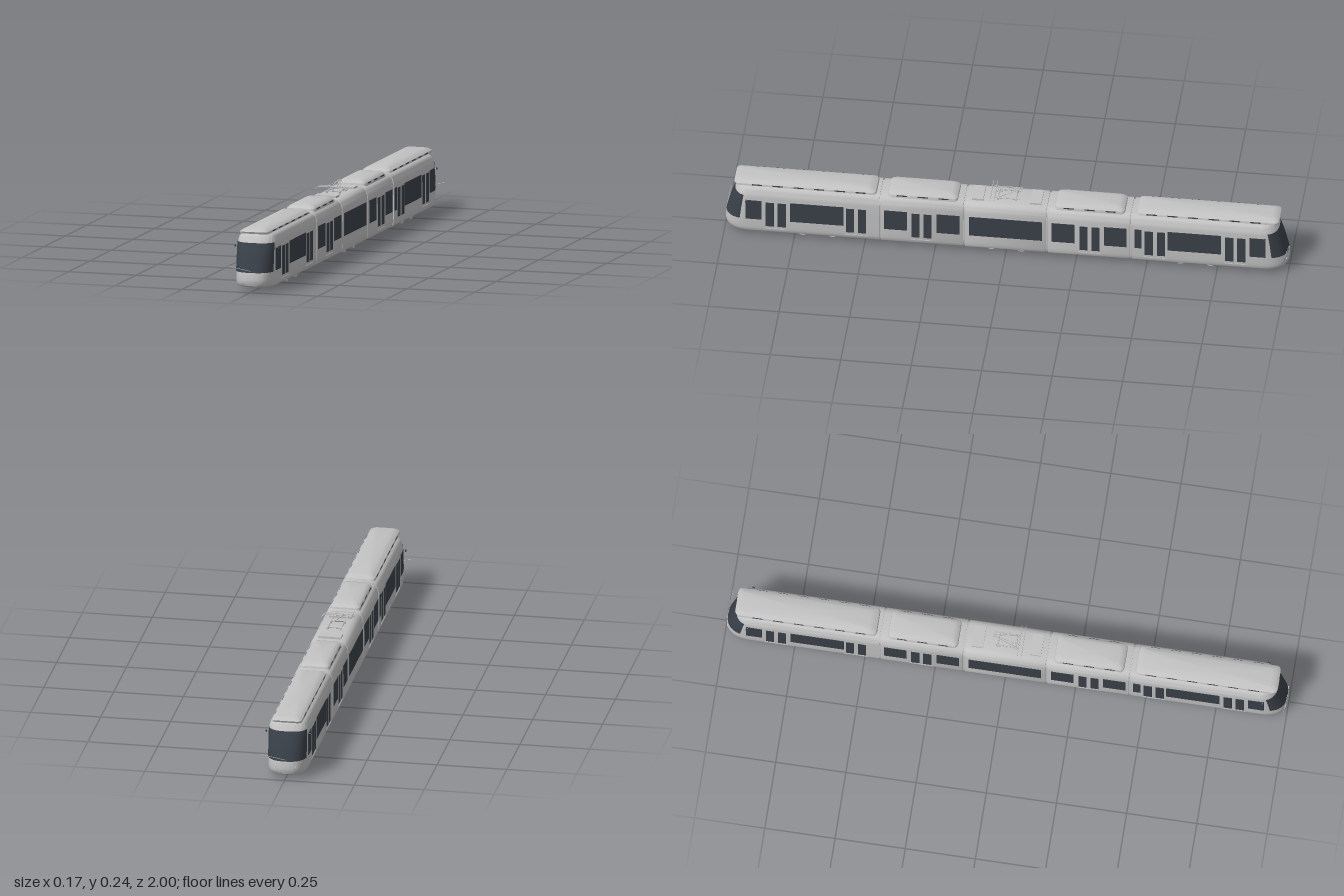
import * as THREE from 'three';
import { toCreasedNormals } from 'three/addons/utils/BufferGeometryUtils.js';

const mat = (name, color, side = THREE.FrontSide) => {
  const m = new THREE.MeshStandardMaterial({ color, side });
  m.name = name;
  return m;
};

export function createModel() {
  const paint = mat('body grey', 0xc2c2c2);
  const glass = mat('dark glass', 0x3a4149, THREE.DoubleSide);

  const add = (parent, name, geo, material, x = 0, y = 0, z = 0) => {
    const m = new THREE.Mesh(geo, material);
    m.name = name;
    m.position.set(x, y, z);
    parent.add(m);
    return m;
  };
  const box = (parent, name, material, w, h, d, x, y, z) =>
    add(parent, name, new THREE.BoxGeometry(w, h, d), material, x, y, z);
  const rod = (parent, name, r, pts) => {
    const v = pts.map(p => new THREE.Vector3(...p));
    const curve = v.length > 2 ? new THREE.CatmullRomCurve3(v) : new THREE.LineCurve3(v[0], v[1]);
    return add(parent, name, new THREE.TubeGeometry(curve, v.length > 2 ? 16 : 1, r, 6), paint);
  };

  // Closed, capped surface through rings of [x, y, z] stacked upwards
  function loft(rings) {
    const n = rings[0].length, pos = rings.flat(2), idx = [];
    for (let i = 0; i < rings.length - 1; i++)
      for (let j = 0; j < n; j++) {
        const k = (j + 1) % n, a = i * n + j, b = i * n + k;
        idx.push(a, a + n, b, b, a + n, b + n);
      }
    [0, rings.length - 1].forEach((i, top) => {
      const zs = rings[i].map(p => p[2]), c = pos.length / 3;
      pos.push(0, rings[i][0][1], (Math.min(...zs) + Math.max(...zs)) / 2);
      for (let j = 0; j < n; j++) {
        const a = i * n + j, b = i * n + (j + 1) % n;
        top ? idx.push(c, b, a) : idx.push(c, a, b);
      }
    });
    const g = new THREE.BufferGeometry();
    g.setAttribute('position', new THREE.Float32BufferAttribute(pos, 3));
    g.setIndex(idx);
    return toCreasedNormals(g, 0.6);
  }

  // Plan outline: rectangle with rounded corners
  function roundRing(y, w, z0, z1, r) {
    const pts = [];
    for (let q = 0; q < 4; q++) {
      const cx = (q === 0 || q === 3 ? 1 : -1) * (w - r), cz = q < 2 ? z1 - r : z0 + r;
      for (let s = 0; s <= 4; s++) {
        const a = (q + s / 4) * Math.PI / 2;
        pts.push([cx + r * Math.cos(a), y, cz + r * Math.sin(a)]);
      }
    }
    return pts;
  }

  // Body profile: height, half width, nose position
  const levels = [
    [0.018, 0.066, 0.988], [0.023, 0.069, 0.995], [0.034, 0.0705, 0.999], [0.045, 0.071, 1.0],
    [0.07, 0.071, 0.995], [0.12, 0.071, 0.982], [0.165, 0.0705, 0.967], [0.18, 0.0685, 0.96],
    [0.19, 0.065, 0.954], [0.198, 0.058, 0.947], [0.203, 0.049, 0.938], [0.205, 0.04, 0.925]];
  const profile = y => {
    const i = Math.max(1, levels.findIndex(l => l[0] >= y)), a = levels[i - 1], b = levels[i];
    const t = (y - a[0]) / (b[0] - a[0]);
    return [a[1] + (b[1] - a[1]) * t, a[2] + (b[2] - a[2]) * t];
  };
  const NOSE = 0.9, EXP = 2 / 2.6;
  const nosePoint = (y, a, off = 0) => {
    const [w, zf] = profile(y), c = Math.cos(a);
    return [Math.sign(c) * Math.pow(Math.abs(c), EXP) * (w + off), y,
      NOSE + Math.pow(Math.abs(Math.sin(a)), EXP) * (zf + off - NOSE)];
  };
  const noseRing = (y, zr) => {
    const w = profile(y)[0], pts = [[w, y, zr]];
    for (let s = 0; s <= 32; s++) pts.push(nosePoint(y, Math.PI * s / 32));
    pts.push([-w, y, zr]);
    return pts;
  };

  // Windscreen wrapped around the nose
  function windscreen() {
    const cols = 24, rows = 6, pos = [], idx = [], a0 = 0.36;
    for (let i = 0; i <= rows; i++)
      for (let j = 0; j <= cols; j++)
        pos.push(...nosePoint(0.07 + 0.102 * i / rows, a0 + (Math.PI - 2 * a0) * j / cols, 0.0015));
    for (let i = 0; i < rows; i++)
      for (let j = 0; j < cols; j++) {
        const a = i * (cols + 1) + j, d = a + cols + 1;
        idx.push(a, d, a + 1, a + 1, d, d + 1);
      }
    const g = new THREE.BufferGeometry();
    g.setAttribute('position', new THREE.Float32BufferAttribute(pos, 3));
    g.setIndex(idx);
    g.computeVertexNormals();
    return g;
  }

  const straightCar = (z0, z1) => loft(levels.map(([y, w]) => roundRing(y, w, z0, z1, 0.003)));

  // Side openings on the flanks
  const sideWindow = (g, z0, z1, sides = [1, -1]) => {
    for (const s of sides)
      box(g, 'sideWindow', glass, 0.004, 0.081, z1 - z0, s * 0.0703, 0.1125, (z0 + z1) / 2);
  };
  const door = (g, z) => {
    for (const s of [1, -1]) {
      for (const d of [0.0215, -0.0215])
        box(g, 'doorGlass', glass, 0.004, 0.103, 0.029, s * 0.0703, 0.0965, z + d);
      box(g, 'doorSill', paint, 0.003, 0.003, 0.08, s * 0.0705, 0.034, z);
    }
  };

  // Raised roof housing with slim vents along its edges
  function roofPod(g, rows, z0, z1) {
    add(g, 'roofPod', loft(rows.map(([y, w, a, b]) => roundRing(y, w, a, b, 0.016))), paint);
    const n = Math.round((z1 - z0) / 0.08);
    for (let i = 0; i < n; i++)
      for (const s of [1, -1])
        box(g, 'roofVent', glass, 0.002, 0.004, 0.036, s * 0.0525, 0.2085, z0 + (z1 - z0) * (i + 0.5) / n);
  }

  function bogie(g, zc) {
    const b = new THREE.Group();
    b.name = 'bogie';
    for (const dz of [0.053, -0.053])
      for (const s of [1, -1]) {
        add(b, 'wheel', new THREE.CylinderGeometry(0.019, 0.019, 0.006, 20), paint,
          s * 0.046, 0.019, zc + dz).rotation.z = Math.PI / 2;
        add(b, 'wheelHub', new THREE.CylinderGeometry(0.005, 0.009, 0.016, 12), paint,
          s * 0.035, 0.017, zc + dz).rotation.z = s * Math.PI / 2;
      }
    box(b, 'bogiePlate', paint, 0.04, 0.006, 0.03, 0, 0.0165, zc);
    g.add(b);
  }

  // Narrow recessed joint between two cars
  const bellows = (g, z) => add(g, 'bellows', loft(levels.map(([y, w]) =>
    roundRing(0.02 + (y - 0.018) * 0.96, w * 0.97, z - 0.006, z + 0.006, 0.0005))), paint);

  // One end of the tram: cab car and intermediate car
  function half(name) {
    const g = new THREE.Group();
    g.name = name;
    add(g, 'cabCar', loft(levels.map(l => noseRing(l[0], 0.448))), paint);
    add(g, 'windscreen', windscreen(), glass);
    sideWindow(g, 0.866, 0.922);
    door(g, 0.815);
    sideWindow(g, 0.574, 0.764);
    door(g, 0.53);
    sideWindow(g, 0.457, 0.483, [-1]);
    roofPod(g, [[0.204, 0.0535, 0.46, 0.962], [0.211, 0.052, 0.463, 0.966],
      [0.218, 0.043, 0.476, 0.957], [0.222, 0.034, 0.49, 0.94]], 0.48, 0.92);
    bogie(g, 0.67);

    add(g, 'middleCar', straightCar(0.15, 0.442), paint);
    sideWindow(g, 0.35, 0.43);
    door(g, 0.298);
    sideWindow(g, 0.164, 0.244);
    roofPod(g, [[0.2, 0.054, 0.17, 0.422], [0.211, 0.052, 0.173, 0.419],
      [0.218, 0.045, 0.182, 0.41], [0.222, 0.035, 0.194, 0.398]], 0.185, 0.407);
    bellows(g, 0.445);
    bellows(g, 0.147);

    // Cab fittings
    for (const s of [1, -1]) {
      rod(g, 'mirrorArm', 0.001, [[s * 0.066, 0.152, 0.915], [s * 0.08, 0.152, 0.918]]);
      box(g, 'mirror', glass, 0.004, 0.006, 0.008, s * 0.08, 0.152, 0.918);
      const lamp = box(g, 'headlight', paint, 0.012, 0.003, 0.003, s * 0.034, 0.05, 0.9935);
      lamp.rotation.y = s * 0.2;
    }
    rod(g, 'wiper', 0.0008, [[0, 0.076, 0.996], [-0.085, 0.09, 0.992]]);
    return g;
  }

  const tram = new THREE.Group();
  tram.name = 'tram';
  tram.add(half('frontHalf'));
  const rear = half('rearHalf');
  rear.rotation.y = Math.PI;
  tram.add(rear);

  // Centre car
  add(tram, 'centreCar', straightCar(-0.144, 0.144), paint);
  sideWindow(tram, -0.129, 0.129);
  bogie(tram, 0);
  for (const s of [1, -1])
    box(tram, 'roofBox', paint, 0.08, 0.008, 0.04, 0, 0.208, s * 0.103);

  // Folded pantograph
  const p = new THREE.Group();
  p.name = 'pantograph';
  for (const s of [1, -1]) {
    rod(p, 'baseRail', 0.002, [[s * 0.024, 0.212, -0.045], [s * 0.024, 0.212, 0.045]]);
    rod(p, 'baseBar', 0.002, [[-0.026, 0.213, s * 0.032], [0.026, 0.213, s * 0.032]]);
    for (const t of [1, -1])
      box(p, 'insulator', paint, 0.007, 0.01, 0.007, s * 0.024, 0.208, t * 0.032);
    rod(p, 'lowerArm', 0.0016, [[s * 0.022, 0.214, 0.032], [s * 0.003, 0.243, -0.05]]);
    rod(p, 'upperArm', 0.0014, [[s * 0.003, 0.243, -0.05], [s * 0.018, 0.231, 0.05]]);
  }
  rod(p, 'knee', 0.002, [[-0.006, 0.243, -0.05], [0.006, 0.243, -0.05]]);
  for (const z of [0.042, 0.056])
    rod(p, 'contactBow', 0.0015, [[-0.059, 0.222, z], [-0.05, 0.23, z], [-0.035, 0.232, z],
      [0.035, 0.232, z], [0.05, 0.23, z], [0.059, 0.222, z]]);
  tram.add(p);
  return tram;
}
